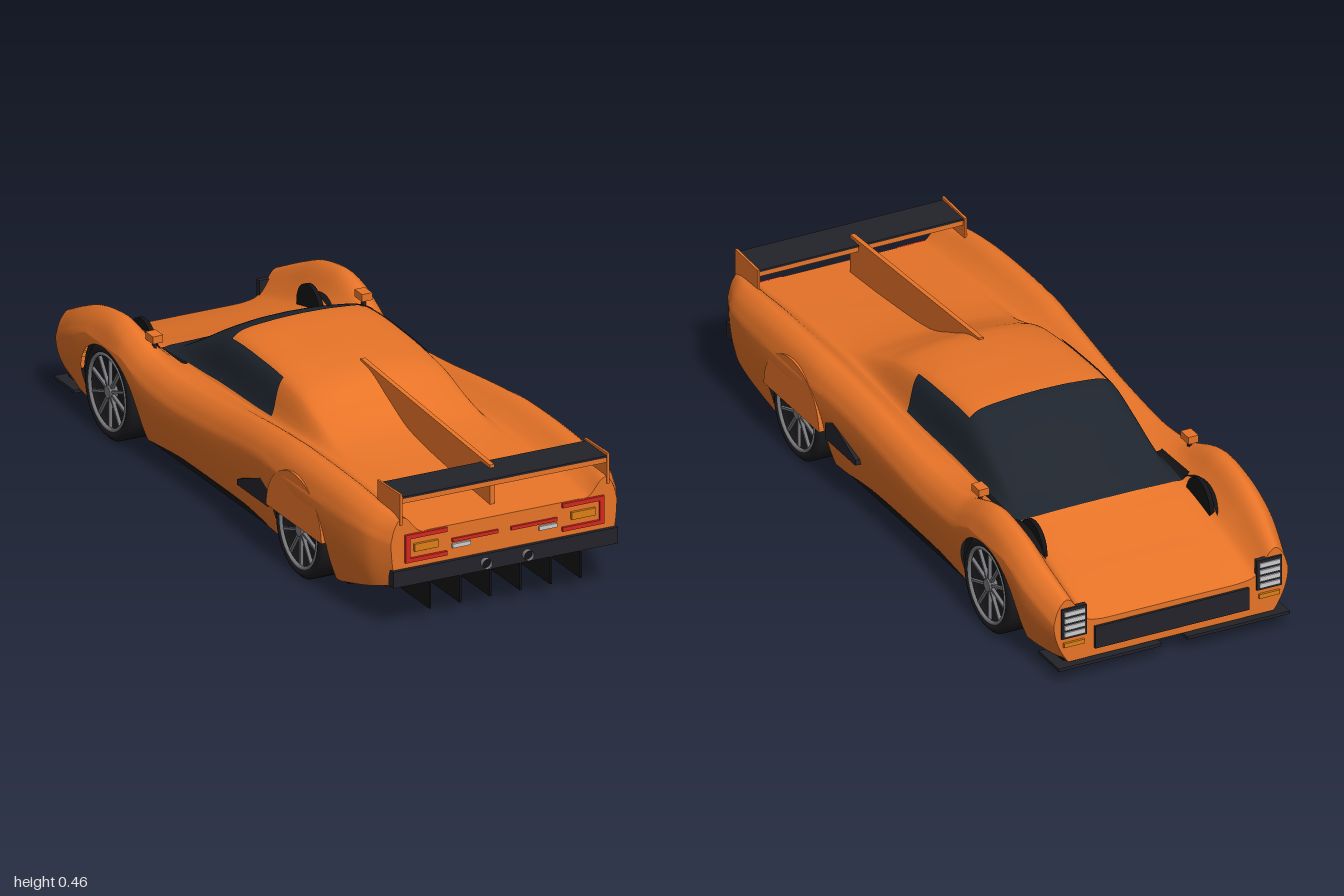
import * as THREE from 'three';

const mat = (color) => new THREE.MeshStandardMaterial({ color, side: THREE.DoubleSide });
const ORANGE = mat(0xe87428), BLACK = mat(0x131315), DARK = mat(0x23232a), GLASS = mat(0x1f252e);
const RED = mat(0xd8261f), AMBER = mat(0xdd8016), WHITE = mat(0xd8d8d8), METAL = mat(0x77777c), TYRE = mat(0x1a1a1d);

// Body stations: z, centre height, shoulder height, gutter height, fender crest, half width
const ST = [
  [-.98, .165, .165, .175, .25, .365], [-.85, .205, .205, .215, .312, .393], [-.75, .23, .23, .245, .352, .398],
  [-.63, .26, .26, .27, .372, .4], [-.56, .28, .277, .275, .362, .4], [-.5, .315, .297, .28, .34, .397],
  [-.43, .355, .335, .285, .315, .393], [-.3, .428, .405, .29, .302, .387], [-.21, .456, .437, .295, .303, .385],
  [0, .456, .437, .3, .322, .385], [.1, .45, .428, .305, .335, .387], [.2, .436, .412, .31, .347, .391],
  [.3, .393, .375, .315, .356, .397], [.43, .343, .335, .318, .366, .404], [.7, .31, .31, .31, .365, .403],
  [.88, .296, .296, .296, .352, .39], [.97, .29, .29, .29, .34, .352],
];
const WHEEL_Y = .144, FRONT_Z = -.63, REAR_Z = .495;

// Smooth interpolation between stations
function station(z) {
  let i = 0;
  while (i < ST.length - 2 && z > ST[i + 1][0]) i++;
  const a = ST[i], b = ST[i + 1], p = ST[Math.max(i - 1, 0)], n = ST[Math.min(i + 2, ST.length - 1)];
  const h = b[0] - a[0], t = (z - a[0]) / h, t2 = t * t, t3 = t2 * t;
  return [1, 2, 3, 4, 5].map((k) => {
    const ma = (b[k] - p[k]) / (b[0] - p[0]), mb = (n[k] - a[k]) / (n[0] - a[0]);
    return (2 * t3 - 3 * t2 + 1) * a[k] + (t3 - 2 * t2 + t) * h * ma + (3 * t2 - 2 * t3) * b[k] + (t3 - t2) * h * mb;
  });
}

// Lower edge of the body side, including the wheel openings
function lowEdge(z) {
  const d = (z - FRONT_Z) / .165;
  if (Math.abs(d) < 1) return .12 + .158 * Math.sqrt(1 - d * d);
  if (Math.abs(z - REAR_Z) < .165) return .165;
  return z > .68 ? .055 + (z - .68) * .3 : .055;
}

// Section at z: s = 0 centre, 2 shoulder, 4 gutter, 7 fender crest, 9 widest, 13 lower edge
function section(z) {
  const [T, R, G, C, W] = station(z);
  const f = (k) => .26 + (W - .26) * k;
  const mid = Math.min(.285, C - .07), low = lowEdge(z);
  const curve = new THREE.CatmullRomCurve3([
    [0, T], [.1, T - .2 * (T - R)], [.2, R], [.228, R + (G - R) * .2], [.26, G], [f(.22), G + (C - G) * .35],
    [f(.46), C - (C - G) * .12], [f(.64), C], [f(.87), C - .027], [W, mid],
  ].map(([x, y]) => new THREE.Vector3(x, y, z)));
  return (s) => {
    const a = Math.abs(s), sign = s < 0 ? -1 : 1;
    let p;
    if (a <= 9) p = curve.getPoint(a / 9);
    else {
      const y = mid + (low - mid) * (a - 9) / 4, t = (mid - y) / (mid - .055);
      p = new THREE.Vector3(W - .045 * t * t, y, z);
    }
    p.x *= sign;
    return p;
  };
}

// Grid over the body surface between s0..s1 and the given z values, pushed out by offset
function skin(s0, s1, ns, zs, offset = 0) {
  const pos = [], idx = [];
  zs.forEach((z, j) => {
    const sec = section(z);
    for (let i = 0; i <= ns; i++) {
      pos.push(...sec(s0 + (s1 - s0) * i / ns).toArray());
      if (i < ns && j < zs.length - 1) {
        const a = j * (ns + 1) + i, b = a + ns + 1;
        idx.push(a, b, a + 1, a + 1, b, b + 1);
      }
    }
  });
  const g = new THREE.BufferGeometry();
  g.setAttribute('position', new THREE.Float32BufferAttribute(pos, 3));
  g.setIndex(idx);
  g.computeVertexNormals();
  const p = g.attributes.position, n = g.attributes.normal;
  for (let i = 0; offset && i < p.count; i++)
    p.setXYZ(i, p.getX(i) + n.getX(i) * offset, p.getY(i) + n.getY(i) * offset, p.getZ(i) + n.getZ(i) * offset);
  return g;
}
const range = (a, b, n) => Array.from({ length: n + 1 }, (_, i) => a + (b - a) * i / n);
const shapeOf = (pts) => new THREE.Shape(pts.map(([x, y]) => new THREE.Vector2(x, y)));

// Plate with a (z, y) outline, running from x0 to x1
function plate(pts, x0, x1) {
  const g = new THREE.ExtrudeGeometry(shapeOf(pts.map(([z, y]) => [-z, y])), { depth: x1 - x0, bevelEnabled: false });
  return g.rotateY(Math.PI / 2).translate(x0, 0, 0);
}

function makeWheel() {
  const wheel = new THREE.Group();
  const part = (name, geo, m) => { const o = new THREE.Mesh(geo, m); o.name = name; wheel.add(o); };
  const prof = [[.1, -.055], [.13, -.055], [.14, -.045], [.14, .045], [.13, .055], [.112, .055], [.108, .03], [.001, .03]];
  part('tyre', new THREE.LatheGeometry(prof.map(([x, y]) => new THREE.Vector2(x, y)), 40).rotateZ(-Math.PI / 2), TYRE);
  part('innerDisc', new THREE.CircleGeometry(.12, 32).rotateY(-Math.PI / 2).translate(-.05, 0, 0), TYRE);
  part('rim', new THREE.TorusGeometry(.108, .006, 8, 40).rotateY(Math.PI / 2).translate(.052, 0, 0), METAL);
  part('hub', new THREE.CylinderGeometry(.018, .02, .03, 16).rotateZ(-Math.PI / 2).translate(.04, 0, 0), METAL);
  for (let i = 0; i < 10; i++)
    part('spoke', new THREE.BoxGeometry(.01, .1, .007).translate(.045, .058, 0).rotateX(i * Math.PI / 5), METAL);
  return wheel;
}

export function createModel() {
  const car = new THREE.Group();
  car.name = 'raceCar';
  const add = (name, geo, m) => {
    const o = new THREE.Mesh(geo, m);
    o.name = name;
    car.add(o);
    return o;
  };
  // Box by its limits
  const box = (name, m, x0, x1, y0, y1, z0, z1) => add(name,
    new THREE.BoxGeometry(Math.abs(x1 - x0), y1 - y0, z1 - z0).translate((x0 + x1) / 2, (y0 + y1) / 2, (z0 + z1) / 2), m);

  // Body shell, with columns doubled where the wheel openings step
  const zs = range(-.98, .97, 130);
  for (const c of [FRONT_Z, REAR_Z]) for (const e of [-.165, .165]) zs.push(c + e - .0005, c + e + .0005);
  zs.push(...range(FRONT_Z - .163, FRONT_Z - .14, 6), ...range(FRONT_Z + .14, FRONT_Z + .163, 6));
  zs.sort((a, b) => a - b);
  add('bodyShell', skin(-13, 13, 104, zs), ORANGE);
  for (const [name, z] of [['nosePanel', -.98], ['tailPanel', .97]]) {
    const sec = section(z);
    add(name, new THREE.ShapeGeometry(shapeOf(range(-13, 13, 104).map((s) => { const p = sec(s); return [p.x, p.y]; }))).translate(0, 0, z), ORANGE);
  }

  // Glass
  add('windshield', skin(-3.9, 3.9, 60, range(-.56, -.21, 30), .003), GLASS);
  for (const s of [1, -1]) {
    const [a, b] = s > 0 ? [2.6, 3.9] : [-3.9, -2.6];
    add('sideWindow', skin(a, b, 12, range(-.21, .09, 20), .003), GLASS);
    const [c, d] = s > 0 ? [3.9, 4.7] : [-4.7, -3.9];
    add('cowlVent', skin(c, d, 6, range(-.56, -.4, 10), .003), BLACK);
  }

  // Floor with wheel notches, and the ramp and strakes of the diffuser
  const half = [[.33, -.97], [.34, -.8], [.27, -.8], [.27, -.46], [.35, -.46], [.35, .33], [.27, .33], [.27, .66], [.35, .66], [.35, .72]];
  const outline = [...half, ...half.map(([x, z]) => [-x, z]).reverse()];
  add('floor', new THREE.ExtrudeGeometry(shapeOf(outline), { depth: .015, bevelEnabled: false }).rotateX(Math.PI / 2).translate(0, .072, 0), BLACK);
  add('diffuserRamp', plate([[.7, .057], [.97, .14], [.97, .15], [.7, .07]], -.345, .345), BLACK);
  for (const x of range(-.235, .235, 5))
    add('diffuserStrake', plate([[.72, .058], [.98, .058], [.98, .145], [.9, .125]], x - .003, x + .003), BLACK);
  box('frontInnerStructure', BLACK, -.268, .268, .06, .19, -.8, -.46);
  box('rearInnerStructure', BLACK, -.268, .268, .06, .285, .31, .68);

  // Rear bumper, exhausts, spine fin and wing
  box('rearBumper', DARK, -.35, .35, .14, .188, .95, .982);
  add('spineFin', plate([[.14, .452], [.9, .412], [.9, .285], [.45, .31], [.14, .42]], -.007, .007), ORANGE);
  box('wing', ORANGE, -.322, .322, .382, .397, .85, .97);
  box('wingTop', DARK, -.322, .322, .397, .403, .848, .972);
  // Grille
  box('grille', DARK, -.24, .24, .08, .148, -.988, -.97);

  for (const s of [1, -1]) {
    const sbox = (name, m, x0, x1, ...r) => box(name, m, s * x0, s * x1, ...r);
    const splate = (name, m, pts, x0, x1) => add(name, plate(pts, Math.min(s * x0, s * x1), Math.max(s * x0, s * x1)), m);
    // Wheels and their housings
    for (const [name, z] of [['frontWheel', FRONT_Z], ['rearWheel', REAR_Z]]) {
      const w = makeWheel();
      w.name = name;
      w.position.set(s * .335, WHEEL_Y, z);
      if (s < 0) w.rotation.y = Math.PI;
      car.add(w);
      add('wheelHousing', new THREE.CylinderGeometry(.16, .16, .11, 32, 1, true, 0, Math.PI)
        .rotateZ(Math.PI / 2).translate(s * .322, WHEEL_Y, z), BLACK);
    }
    add('housingBulge', new THREE.CylinderGeometry(.07, .07, .014, 24).rotateZ(Math.PI / 2).translate(s * .26, .258, -.66), BLACK);
    // Rear wheel cover and side intake
    const arc = range(0, Math.PI, 32).map((a) => [REAR_Z + .163 * Math.cos(a), .165 + .15 * Math.sin(a)]);
    splate('rearWheelCover', ORANGE, arc, .386, .404);
    splate('sideIntake', DARK, [[.32, .15], [.32, .238], [.14, .167], [.14, .15]], .34, .392);
    // Mirror
    sbox('mirror', ORANGE, .31, .342, .343, .365, -.495, -.45);
    sbox('mirrorStalk', DARK, .322, .33, .305, .345, -.478, -.466);
    // Front splitter and headlight
    sbox('splitter', DARK, .04, .36, .043, .052, -1, -.88);
    sbox('headlightPanel', DARK, .265, .343, .132, .225, -.986, -.97);
    for (let i = 0; i < 4; i++) sbox('headlightBar', WHITE, .272, .336, .139 + i * .021, .153 + i * .021, -.99, -.98);
    sbox('frontIndicator', AMBER, .272, .336, .105, .118, -.987, -.97);
    // Tail lights
    sbox('tailLightTop', RED, .18, .31, .275, .288, .96, .978);
    sbox('tailLightBottom', RED, .18, .31, .205, .217, .96, .978);
    sbox('tailLightSide', RED, .296, .31, .205, .288, .96, .978);
    sbox('rearIndicator', AMBER, .208, .282, .235, .257, .96, .978);
    sbox('brakeStrip', RED, .02, .163, .24, .25, .96, .977);
    sbox('reverseLight', WHITE, .107, .163, .222, .234, .96, .977);
    add('exhaust', new THREE.CylinderGeometry(.015, .015, .05, 20, 1, true).rotateX(Math.PI / 2).translate(s * .065, .163, .973), METAL);
    add('exhaustInner', new THREE.CircleGeometry(.015, 20).translate(s * .065, .163, .985), BLACK);
    // Wing end plate
    splate('wingEndPlate', ORANGE, [[.84, .33], [.975, .32], [.975, .412], [.84, .408]], .319, .326);
  }
  return car;
}
